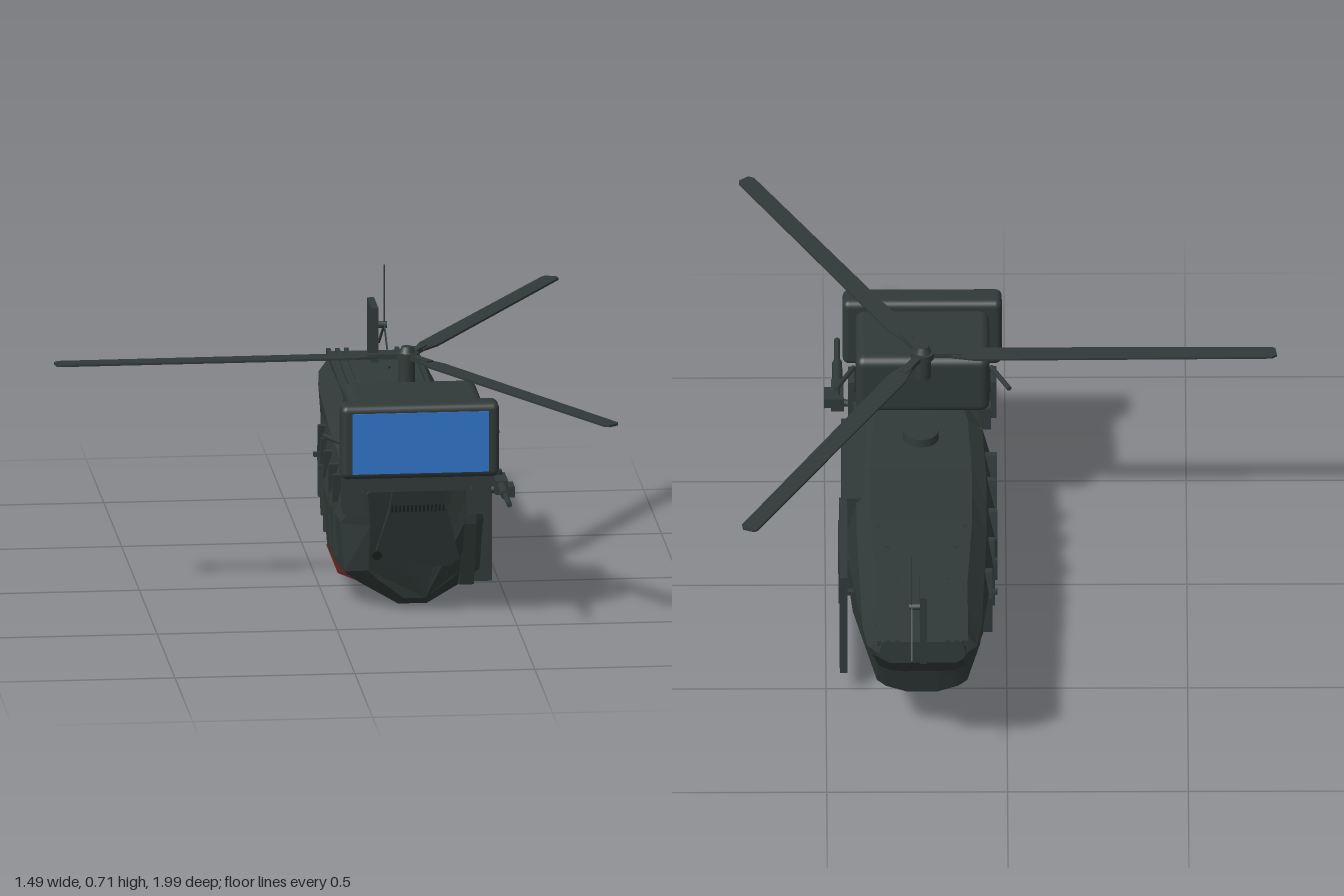
import * as THREE from 'three';
import { RoundedBoxGeometry } from 'three/addons/geometries/RoundedBoxGeometry.js';

const CX = 0.235; // centre line of the fuselage

export function createModel() {
  const model = new THREE.Group();
  const mat = (name, color, side = THREE.FrontSide) => {
    const m = new THREE.MeshStandardMaterial({ color, side });
    m.name = name;
    return m;
  };
  const paint = mat('dark green grey', 0x303a38, THREE.DoubleSide);
  const dark = mat('near black', 0x1c2221, THREE.DoubleSide);
  const blue = mat('visor blue', 0x3076cc);
  const red = mat('dark red', 0x5c2220, THREE.DoubleSide);
  const grey = mat('seat grey', 0x626766);

  const add = (name, geo, material, x = 0, y = 0, z = 0, parent = model) => {
    const m = new THREE.Mesh(geo, material);
    m.name = name;
    m.position.set(x, y, z);
    parent.add(m);
    return m;
  };
  const box = (name, w, h, d, material, x, y, z, parent) =>
    add(name, new THREE.BoxGeometry(w, h, d), material, x, y, z, parent);
  const rod = (name, a, b, r, material = paint) => {
    const p = new THREE.Vector3(...a), q = new THREE.Vector3(...b);
    const m = add(name, new THREE.CylinderGeometry(r, r, p.distanceTo(q), 8), material);
    m.position.copy(p).lerp(q, 0.5);
    m.quaternion.setFromUnitVectors(new THREE.Vector3(0, 1, 0), q.sub(p).normalize());
    return m;
  };
  // outline in (z, y), extruded along x from x0 to x1
  const sidePlate = (name, pts, x0, x1, material, hole) => {
    const s = new THREE.Shape(pts.map(p => new THREE.Vector2(...p)));
    if (hole) s.holes.push(new THREE.Path(hole.map(p => new THREE.Vector2(...p))));
    const g = new THREE.ExtrudeGeometry(s, { depth: x1 - x0, bevelEnabled: false });
    return add(name, g.rotateY(-Math.PI / 2), material, x1);
  };
  const rect = (z0, z1, y0, y1) => [[z0, y0], [z1, y0], [z1, y1], [z0, y1]];

  // Fuselage: half sections from keel to deck as [half width, y, z]
  const at = (z, pts) => pts.map(p => [p[0], p[1], z]);
  const rings = [
    [[.03, .045, .3], [.1, .1, .31], [.13, .13, .315], [.13, .27, .375], [.14, .37, .4], [.1, .39, .4]],
    at(.24, [[.04, .015], [.15, .08], [.19, .11], [.2, .25], [.17, .37], [.13, .4]]),
    at(.0, [[.04, .01], [.15, .075], [.2, .1], [.21, .25], [.18, .375], [.14, .405]]),
    at(-.14, [[.04, .02], [.15, .08], [.2, .1], [.21, .26], [.18, .385], [.14, .42]]),
    at(-.3, [[.04, .05], [.15, .1], [.19, .13], [.2, .28], [.18, .39], [.14, .435]]),
    at(-.73, [[.04, .16], [.1, .18], [.125, .2], [.16, .32], [.165, .39], [.12, .445]]),
    at(-.76, [[.05, .25], [.09, .255], [.12, .27], [.155, .34], [.163, .39], [.12, .446]]),
    at(-.86, [[.07, .345], [.09, .35], [.11, .36], [.14, .38], [.152, .405], [.12, .45]]),
    at(-.905, [[.08, .38], [.09, .38], [.1, .385], [.115, .395], [.12, .41], [.11, .45]]),
  ];
  const loops = rings.map(r => [
    ...r.map(([w, y, z]) => [CX + w, y, z]),
    ...r.slice().reverse().map(([w, y, z]) => [CX - w, y, z]),
  ]);
  const tris = [];
  const tri = (...pts) => pts.forEach(p => tris.push(...p));
  const n = loops[0].length;
  for (let i = 0; i < loops.length - 1; i++) {
    for (let j = 0; j < n; j++) {
      if ((i === 1 || i === 2) && (j === 2 || j === 3)) continue; // door opening
      const a = loops[i][j], b = loops[i][(j + 1) % n];
      const c = loops[i + 1][(j + 1) % n], d = loops[i + 1][j];
      tri(a, d, c);
      tri(a, c, b);
    }
  }
  for (let j = 1; j < n - 1; j++) {
    const f = loops[0], e = loops[loops.length - 1];
    tri(f[0], f[j], f[j + 1]);
    tri(e[0], e[j + 1], e[j]);
  }
  const hullGeo = new THREE.BufferGeometry();
  hullGeo.setAttribute('position', new THREE.Float32BufferAttribute(tris, 3));
  hullGeo.computeVertexNormals();
  add('fuselage', hullGeo, paint);

  // Cabin, its door frame and the door slid back
  box('cabinFloor', .36, .01, .38, dark, CX, .105, .05);
  box('frontBulkhead', .34, .27, .01, paint, CX, .24, .235);
  box('rearBulkhead', .36, .27, .01, paint, CX, .245, -.14);
  sidePlate('bench', [[.2, .115], [.2, .155], [.0, .16], [-.135, .16], [-.135, .135], [.0, .115]], .06, .2, red);
  box('seatCushion', .1, .03, .1, grey, .32, .13, .17);
  box('seatBack', .1, .12, .03, grey, .32, .2, .21);
  sidePlate('doorFrame', rect(.245, -.14, .075, .4), .39, .455, paint, rect(.225, -.135, .09, .38));
  sidePlate('slidingDoor', rect(-.135, -.525, .08, .4), .44, .462, paint);
  sidePlate('doorPanel', rect(-.2, -.36, .2, .37), .462, .465, paint);
  sidePlate('cheekPanel', [[.3, .08], [.24, .07], [.24, .38], [.38, .36], [.37, .27]], .36, .4, paint);

  // Red panel under the right flank
  const flank = box('flankPanel', .055, .006, .32, red, .06, .083, .02);
  flank.rotation.z = -.4;

  // Sloping nose plate with grille and lamp
  const nose = new THREE.Group();
  nose.name = 'nose';
  nose.position.set(CX, .15, .328);
  nose.rotation.x = .3;
  model.add(nose);
  const plate = [[-.07, .26], [.07, .26], [.08, .18], [.12, .025], [.095, 0], [-.095, 0], [-.12, .025], [-.08, .18]];
  add('nosePlate', new THREE.ExtrudeGeometry(new THREE.Shape(plate.map(p => new THREE.Vector2(...p))),
    { depth: .016, bevelEnabled: false }), paint, 0, 0, 0, nose);
  for (let i = 0; i < 14; i++) box('grilleSlot', .005, .022, .004, dark, -.072 + i * .011, .19, .017, nose);
  add('noseLamp', new THREE.CylinderGeometry(.014, .014, .02, 16).rotateX(Math.PI / 2), dark, -.11, .04, .01, nose);

  // Side ribs, with pins on the shoulders
  for (const z of [-.42, -.27, -.13, .02, .14]) {
    const t = Math.max(0, -z - .14) * .1;
    sidePlate('sideRib', [[z, .13 + t], [z - .02, .13 + t], [z - .035, .28], [z - .02, .36], [z, .36], [z - .015, .28]],
      .025 + t * .5, .06 + t, paint);
    if (z < -.2) box('shoulderPin', .42, .012, .015, paint, CX, .28, z);
  }
  // Longitudinal deck ridges
  [-.12, -.095, -.07, .07, .095, .12].forEach((x, i) => {
    const z0 = [-.3, -.4, -.55][i < 3 ? i : 5 - i];
    sidePlate('deckRidge', [[z0, .43], [-.91, .44], [-.91, .458], [z0 - .05, .447]], CX + x - .006, CX + x + .006, paint);
  });
  add('deckCap', new THREE.CylinderGeometry(.048, .05, .03, 24), paint, CX, .412, .15);

  // Head housing with visor
  add('headHousing', new RoundedBoxGeometry(.37, .18, .255, 3, .025), paint, .23, .548, .313);
  add('visorHousing', new RoundedBoxGeometry(.44, .21, .08, 3, .018), paint, .23, .545, .483);
  box('headBridge', .34, .15, .04, paint, .23, .545, .44);
  box('visorScreen', .38, .172, .006, blue, .23, .543, .523);
  for (const s of [-1, 1]) {
    box('headSlot', .004, .012, .1, dark, .23 + s * .186, .49, .3);
    rod('headStay', [.23 + s * .19, .5, .35], [.23 + s * .24, .5, .245], .007);
    box('headVent', .04, .004, .06, dark, .23 + s * .08, .457, .28);
    // support pods under the head
    box('headPod', .05, .12, .08, paint, .23 + s * .18, .38, .4);
    box('podFoot', .05, .07, .1, paint, .23 + s * .165, .345, .37);
  }
  box('neck', .3, .07, .05, paint, .23, .415, .4);

  // Side gun
  rod('gunBarrel', [.465, .39, .42], [.465, .39, .64], .008);
  rod('gunShroud', [.465, .39, .4], [.465, .39, .53], .014);
  box('gunBody', .035, .04, .1, paint, .465, .385, .38);
  box('ammoBox', .03, .03, .06, paint, .487, .37, .39);
  rod('gunMount', [.4, .36, .37], [.47, .37, .37], .01);
  rod('gunGrip', [.465, .42, .36], [.465, .36, .34], .007);

  // Main rotor
  const rotor = new THREE.Group();
  rotor.name = 'mainRotor';
  rotor.position.set(.23, .695, .135);
  model.add(rotor);
  add('mast', new THREE.CylinderGeometry(.023, .023, .075, 16), paint, 0, -.038, 0, rotor);
  add('hub', new THREE.CylinderGeometry(.033, .033, .018, 16), paint, 0, 0, 0, rotor);
  add('hubCap', new THREE.CylinderGeometry(.015, .025, .02, 16), paint, 0, .016, 0, rotor);
  for (let i = 0; i < 3; i++) {
    const arm = new THREE.Group();
    arm.name = 'rotorArm';
    arm.rotation.y = Math.PI + i * Math.PI * 2 / 3;
    rotor.add(arm);
    box('bladeRoot', .1, .014, .022, paint, .06, 0, 0, arm);
    const s = new THREE.Shape([[.08, -.018], [.14, -.03], [.965, -.023], [.98, -.012], [.975, .02], [.965, .026], [.14, .026], [.08, .012]]
      .map(p => new THREE.Vector2(...p)));
    add('blade', new THREE.ExtrudeGeometry(s, { depth: .006, bevelEnabled: false }).rotateX(-Math.PI / 2),
      paint, 0, -.003, 0, arm);
  }

  // Tail fin and tail rotor
  sidePlate('tailFin', [[-.78, .42], [-.91, .38], [-.91, .6], [-.78, .6]], .222, .242, paint);
  rod('tailAxle', [.23, .535, -.855], [.272, .535, -.855], .01);
  for (let i = 0; i < 3; i++) {
    const a = i * Math.PI * 2 / 3;
    const b = box('tailBlade', .004, .17, .01, paint, .265, .535 + Math.cos(a) * .085, -.855 + Math.sin(a) * .085);
    b.rotation.x = a;
  }
  return model;
}
